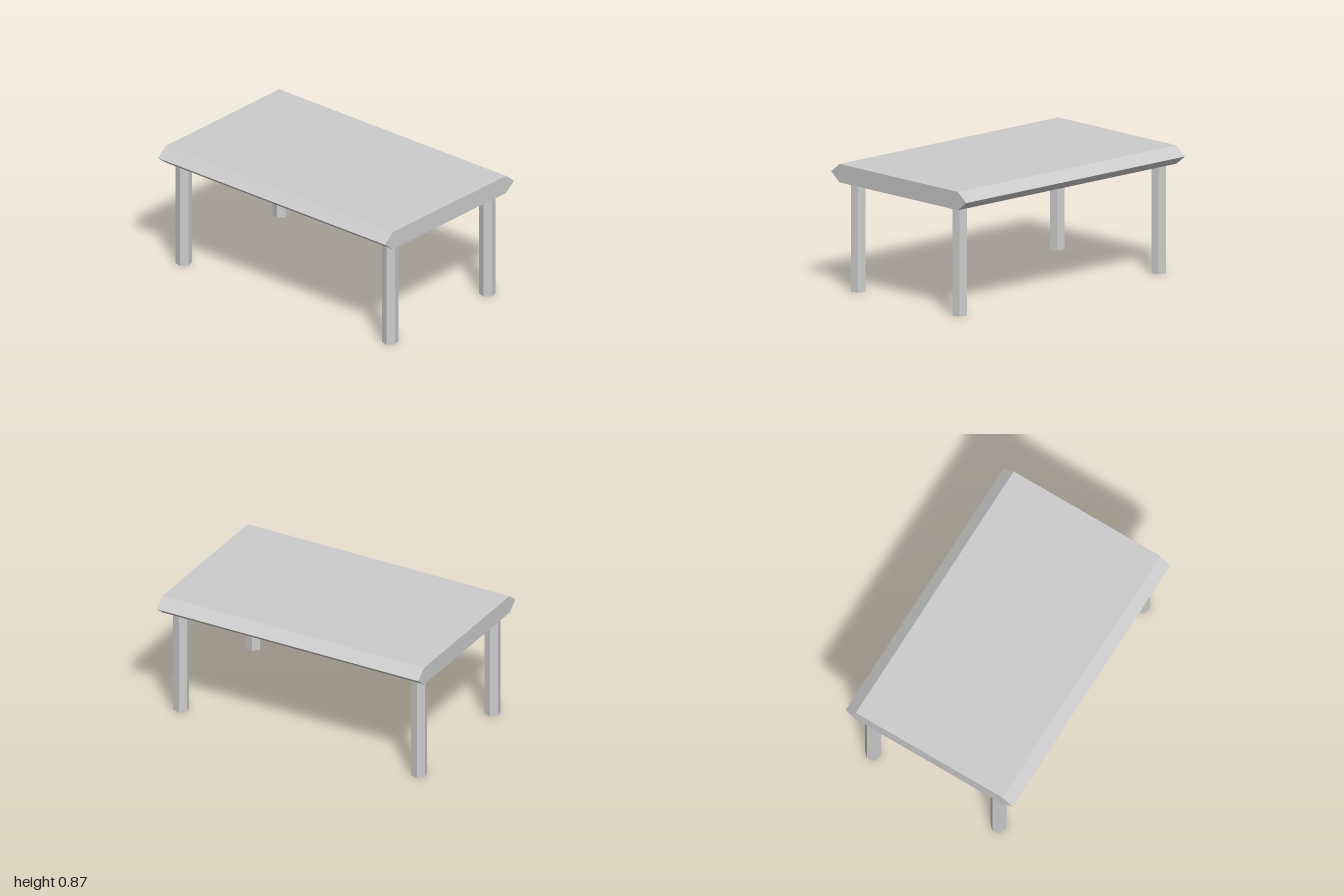
import * as THREE from 'three';

const material = new THREE.MeshStandardMaterial({ color: 0xcccccc, flatShading: true });

export function createModel() {
  const table = new THREE.Group();
  table.name = 'table';

  // Tabletop: pointed-edge profile extruded along x
  const bottom = 0.74, middle = 0.802, top = 0.865;
  const flat = 0.57, tip = 0.65;
  const profile = new THREE.Shape([
    [-tip, middle], [-flat, bottom], [flat, bottom],
    [tip, middle], [flat, top], [-flat, top],
  ].map(([z, y]) => new THREE.Vector2(z, y)));
  const topGeometry = new THREE.ExtrudeGeometry(profile, { depth: 2, bevelEnabled: false });
  topGeometry.translate(0, 0, -1).rotateY(Math.PI / 2);
  const tabletop = new THREE.Mesh(topGeometry, material);
  tabletop.name = 'tabletop';
  table.add(tabletop);

  // Four hexagonal legs, all turned the same way
  const legGeometry = new THREE.CylinderGeometry(0.055, 0.055, bottom, 6, 1, false, Math.PI / 12);
  for (const [side, x] of [['Left', 0.905], ['Right', -0.915]]) {
    for (const [end, z] of [['front', 0.488], ['back', -0.488]]) {
      const leg = new THREE.Mesh(legGeometry, material);
      leg.name = `${end}${side}Leg`;
      leg.position.set(x, bottom / 2, z);
      table.add(leg);
    }
  }

  return table;
}
